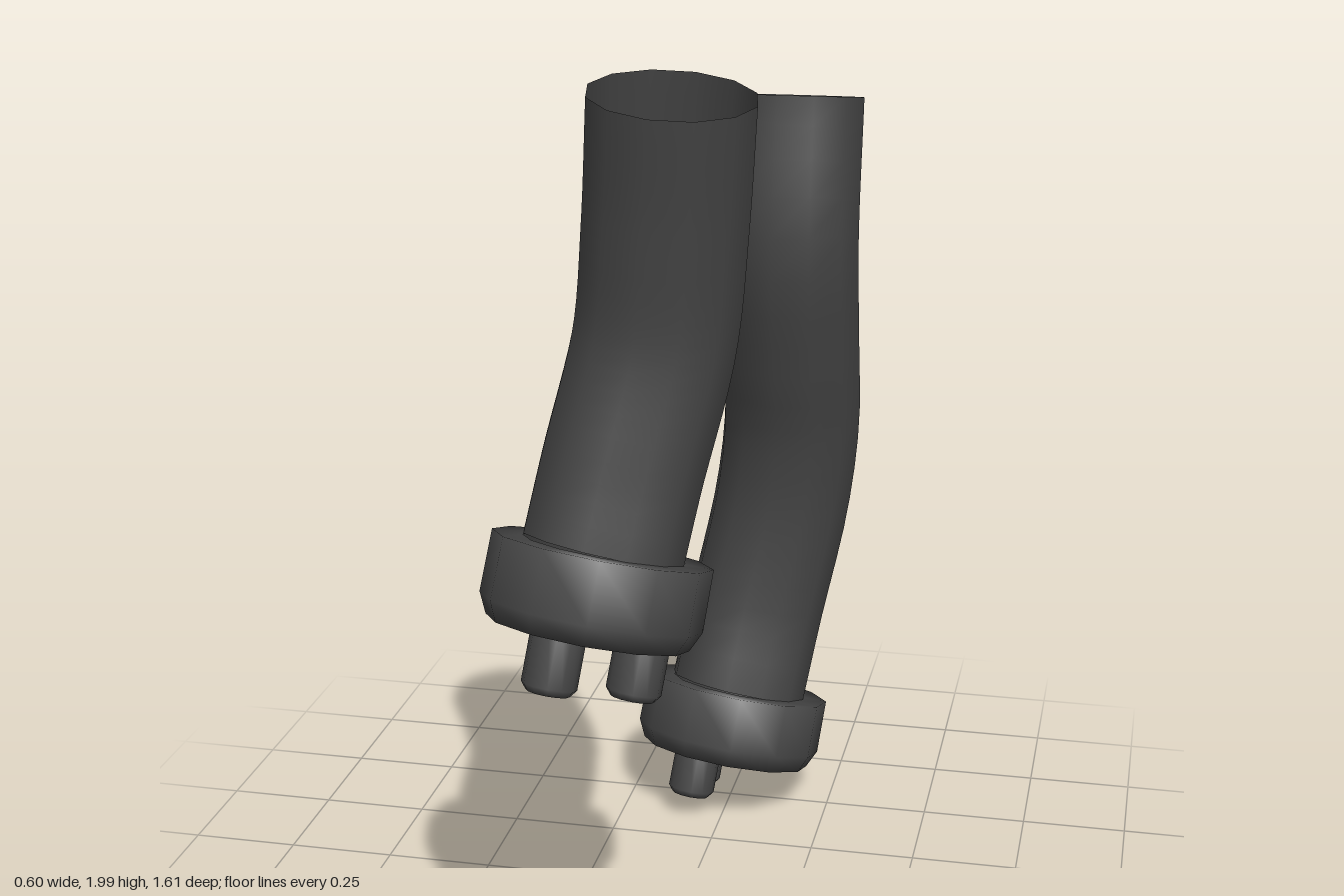
import * as THREE from 'three';

const SIDES = 12;
const UP = new THREE.Vector3(0, 1, 0);
// Both connectors hang along the same tilted direction
const AXIS = new THREE.Vector3(-0.13, -0.95, 0.285).normalize();
const TILT = new THREE.Quaternion().setFromUnitVectors(UP, AXIS);

const rubber = new THREE.MeshStandardMaterial({ color: 0x444444, side: THREE.DoubleSide });

// Turned part running from `start` along AXIS; profile is [radius, distance]
function turned(name, profile, start) {
  const geo = new THREE.LatheGeometry(profile.map(([r, d]) => new THREE.Vector2(r, d)), SIDES);
  const mesh = new THREE.Mesh(geo, rubber);
  mesh.name = name;
  mesh.position.copy(start);
  mesh.quaternion.copy(TILT);
  return mesh;
}

const COLLAR = [[0.165, 0], [0.228, 0], [0.23, 0.13], [0.21, 0.172], [0, 0.172]];
const PRONG_LENGTH = 0.2;
const PRONG = [[0, 0], [0.057, 0], [0.057, PRONG_LENGTH - 0.015], [0.045, PRONG_LENGTH], [0, PRONG_LENGTH]];

// Open bent hose with a collar at its lower end and two prongs below it
function makeHose(name, path, prongTips) {
  const group = new THREE.Group();
  group.name = name;
  const points = path.map((p) => new THREE.Vector3(...p));

  const curve = new THREE.CatmullRomCurve3(points);
  const tube = new THREE.Mesh(new THREE.TubeGeometry(curve, 20, 0.17, SIDES), rubber);
  tube.name = 'tube';
  group.add(tube, turned('collar', COLLAR, points[0]));

  for (const tip of prongTips) {
    const start = new THREE.Vector3(...tip).addScaledVector(AXIS, -PRONG_LENGTH);
    group.add(turned('prong', PRONG, start));
  }
  return group;
}

export function createModel() {
  const model = new THREE.Group();
  model.name = 'hoses';
  model.add(
    makeHose('frontHose',
      [[-0.063, 1.065, 0.555], [-0.035, 1.22, 0.505], [0.02, 1.48, 0.443], [0.045, 1.72, 0.45], [0.065, 1.975, 0.478]],
      [[-0.135, 0.82, 0.735], [0.015, 0.78, 0.64]]),
    makeHose('backHose',
      [[0.012, 0.3, -0.53], [0.045, 0.5, -0.595], [0.1, 0.78, -0.635], [0.125, 1.0, -0.62],
        [0.128, 1.22, -0.565], [0.127, 1.47, -0.52], [0.125, 1.8, -0.575]],
      [[-0.08, 0.06, -0.375], [-0.095, 0.022, -0.53]]),
  );
  return model;
}
